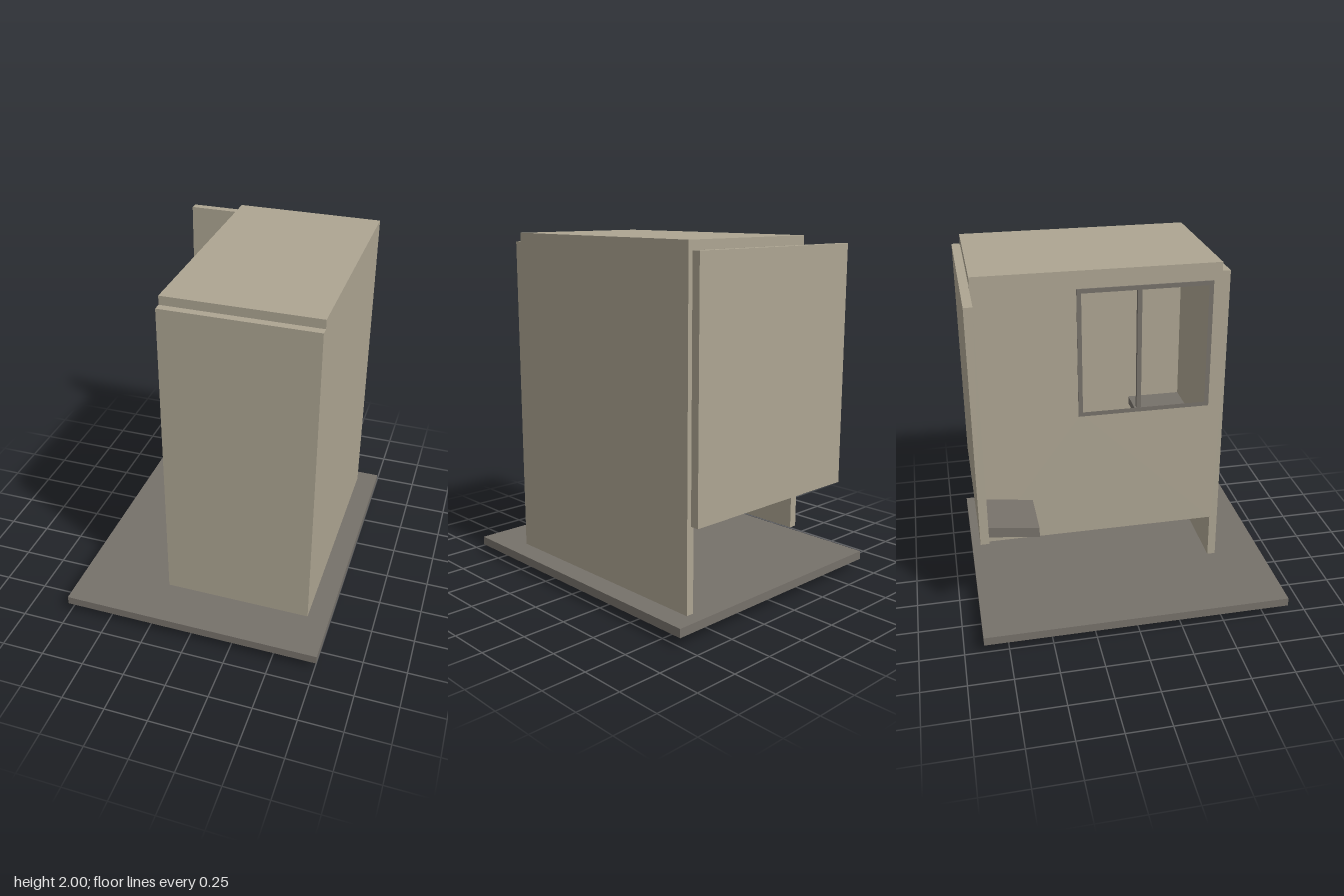
import * as THREE from 'three';

export function createModel() {
  const group = new THREE.Group();
  const panel = new THREE.MeshStandardMaterial({ color: 0xada592 });
  panel.name = 'light panel';
  const dark = new THREE.MeshStandardMaterial({ color: 0x76716a });
  dark.name = 'dark trim';

  const add = (name, geometry, material) => {
    const mesh = new THREE.Mesh(geometry, material);
    mesh.name = name;
    group.add(mesh);
    return mesh;
  };
  // Box given by its limits on each axis
  const box = (name, material, [x0, x1], [y0, y1], [z0, z1]) => {
    const mesh = add(name, new THREE.BoxGeometry(x1 - x0, y1 - y0, z1 - z0), material);
    mesh.position.set((x0 + x1) / 2, (y0 + y1) / 2, (z0 + z1) / 2);
    return mesh;
  };
  const rect = (Type, z0, z1, y0, y1) => new Type([
    new THREE.Vector2(-z0, y0), new THREE.Vector2(-z1, y0),
    new THREE.Vector2(-z1, y1), new THREE.Vector2(-z0, y1),
  ]);
  // Side profile (drawn in -z, y) extruded along x from x0 to x1
  const sideExtrude = (name, shape, x0, x1, material) => {
    const geo = new THREE.ExtrudeGeometry(shape, { depth: x1 - x0, bevelEnabled: false });
    geo.rotateY(Math.PI / 2);
    geo.translate(x0, 0, 0);
    return add(name, geo, material);
  };

  // Ground slab
  box('baseSlab', dark, [-0.76, 0.76], [0.055, 0.105], [-0.89, 0.89]);

  // Cabin shell, open at the back
  box('frontWall', panel, [-0.225, 0.635], [0, 1.95], [0.555, 0.603]);
  box('leftWall', panel, [0.59, 0.635], [0, 1.95], [-0.81, 0.555]);
  box('roof', panel, [-0.225, 0.635], [1.95, 2], [-0.81, 0.557]);

  // Raised side wall with window opening
  const wall = rect(THREE.Shape, -0.81, 0.555, 0.38, 1.95);
  wall.holes.push(rect(THREE.Path, -0.235, 0.495, 1.165, 1.885));
  sideExtrude('windowWall', wall, -0.225, -0.18, panel);

  // Window frame and centre bar
  const frame = rect(THREE.Shape, -0.25, 0.51, 1.15, 1.9);
  frame.holes.push(rect(THREE.Path, -0.225, 0.485, 1.175, 1.875));
  sideExtrude('windowFrame', frame, -0.231, -0.17, dark);
  box('windowBar', dark, [-0.23, -0.205], [1.175, 1.875], [0.085, 0.11]);

  // Door panel slid partly aside across the back
  box('backDoor', panel, [-0.55, 0.61], [0.58, 1.95], [-0.86, -0.812]);

  // Tilted shelf running through the back opening
  const shelf = new THREE.Shape([
    new THREE.Vector2(0.53, 0.575), new THREE.Vector2(0.815, 0.61),
    new THREE.Vector2(0.815, 0.67), new THREE.Vector2(0.53, 0.635),
  ]);
  sideExtrude('rearShelf', shelf, -0.53, 0.59, dark);

  // Bench inside against the front wall
  box('innerBench', dark, [-0.18, 0.59], [0.81, 0.86], [0.22, 0.555]);

  return group;
}
